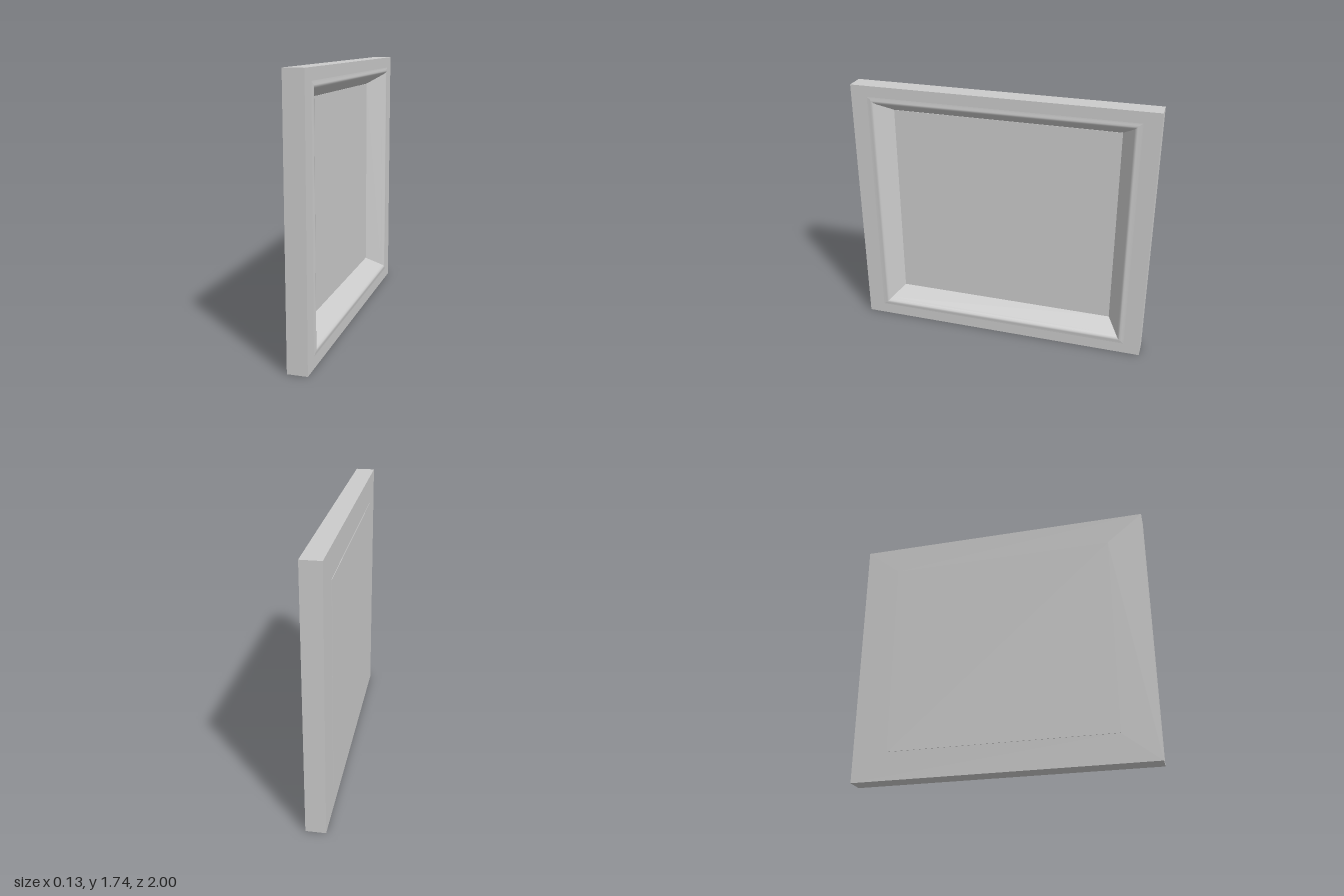
import * as THREE from 'three';

// Mitred rectangular sweep: each profile point is [half width z, half height y, depth x].
// Sides are separate strips, so mitres stay sharp while the profile shades smoothly.
function mitredLoop(profile, name) {
  const corners = [[1, -1], [-1, -1], [-1, 1], [1, 1]];
  const pos = [], index = [];
  for (let side = 0; side < 4; side++) {
    const base = pos.length / 3;
    const ends = [corners[side], corners[(side + 1) % 4]];
    profile.forEach(([hz, hy, x], i) => {
      for (const [sz, sy] of ends) pos.push(x, sy * hy, sz * hz);
      if (i > 0) {
        const a = base + (i - 1) * 2, b = a + 2;
        index.push(a, a + 1, b + 1, a, b + 1, b);
      }
    });
  }
  const geometry = new THREE.BufferGeometry();
  geometry.setAttribute('position', new THREE.Float32BufferAttribute(pos, 3));
  geometry.setIndex(index);
  geometry.computeVertexNormals();
  const mesh = new THREE.Mesh(geometry, new THREE.MeshStandardMaterial({ color: 0xcccccc }));
  mesh.name = name;
  return mesh;
}

export function createModel() {
  const model = new THREE.Group();
  model.name = 'framedPanel';

  const BACK = -0.066, FRONT = 0.062, HALF_H = 0.871;
  const innerBack = [0.76, 0.68, BACK];
  const outerBack = [1, HALF_H, BACK];
  const outerFront = [1, HALF_H, FRONT];
  const lip = [0.89, 0.797, FRONT];

  // Frame: flat back, outer edge and front face
  const frame = new THREE.Group();
  frame.name = 'frame';
  frame.add(
    mitredLoop([innerBack, outerBack], 'frameBack'),
    mitredLoop([outerBack, outerFront], 'frameEdge'),
    mitredLoop([outerFront, lip], 'frameFace'),
    // Slightly raised rounded lip falling into the sloped reveal
    mitredLoop([
      lip,
      [0.872, 0.784, 0.063],
      [0.86, 0.773, 0.0655],
      [0.85, 0.763, 0.064],
      [0.841, 0.754, 0.055],
      [0.83, 0.744, 0.04],
      innerBack,
    ], 'frameReveal'),
  );
  model.add(frame);

  // Thin panel closing the opening, standing just proud of the back
  const panel = new THREE.Mesh(
    new THREE.BoxGeometry(0.006, 1.36, 1.52),
    new THREE.MeshStandardMaterial({ color: 0xcccccc }),
  );
  panel.name = 'panel';
  panel.position.x = -0.066;
  model.add(panel);

  // Lift the parts so the frame stands on the ground
  for (const part of model.children) part.position.y = HALF_H;
  return model;
}
